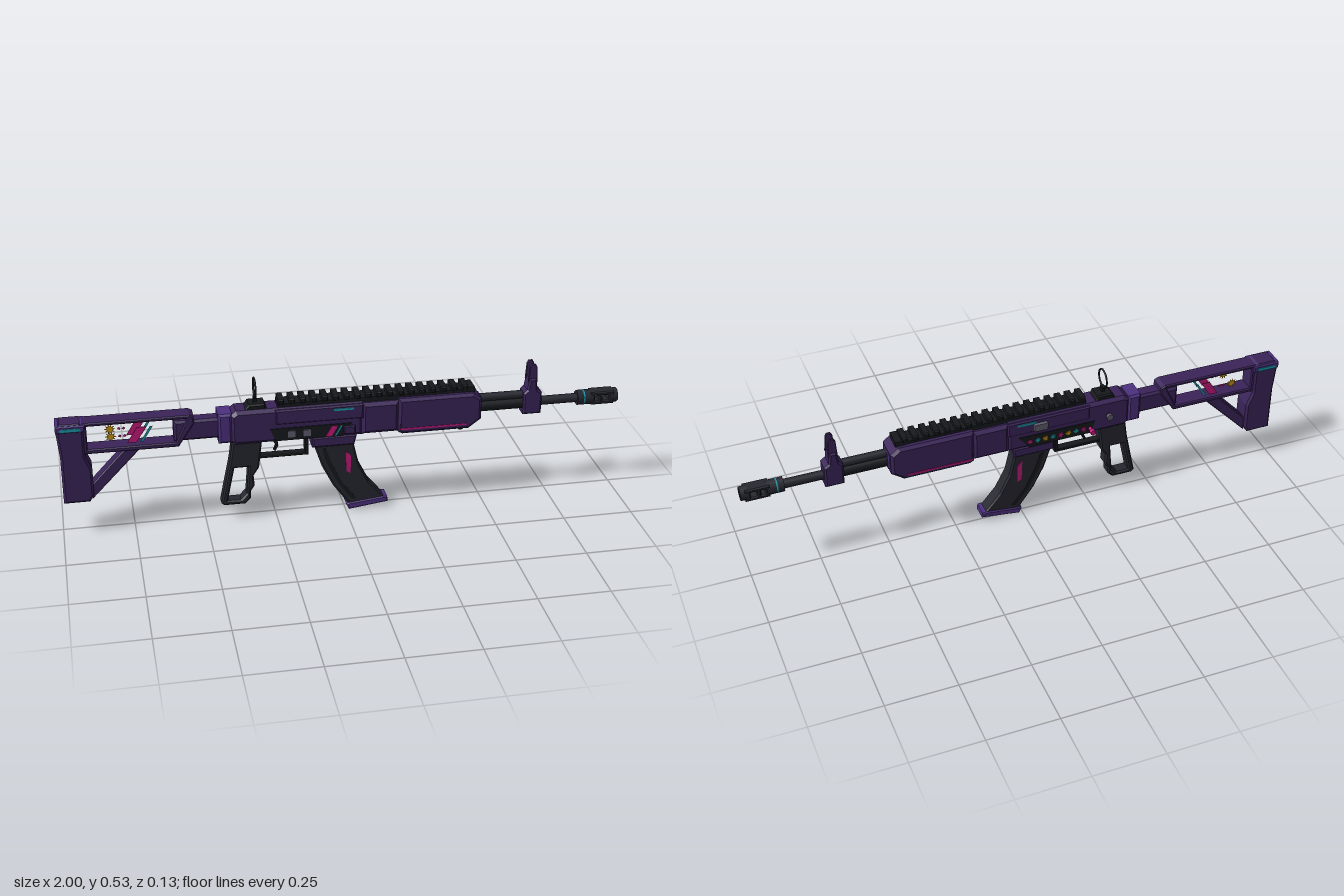
import * as THREE from 'three';

const C = 0.012; // z of the centre plane
const mat = (name, color) => {
  const m = new THREE.MeshStandardMaterial({ color });
  m.name = name;
  return m;
};

export function createModel() {
  const root = new THREE.Group();
  const purple = mat('deep purple', 0x3a2459), violet = mat('bright violet', 0x4d3080);
  const dark = mat('charcoal', 0x262730), black = mat('black', 0x17191d);
  const grey = mat('grey', 0x62606f), pink = mat('magenta', 0xc41a7c);
  const teal = mat('teal', 0x1b9bad), gold = mat('gold', 0xc9930f);

  const add = (geo, m, name, x = 0, y = 0, z = 0) => {
    const mesh = new THREE.Mesh(geo, m);
    mesh.name = name;
    mesh.position.set(x, y, z);
    root.add(mesh);
    return mesh;
  };
  const vec = (pts) => pts.map(([x, y]) => new THREE.Vector2(x, y));
  const rect = (x0, x1, y0, y1) => [[x0, y0], [x1, y0], [x1, y1], [x0, y1]];
  // side outline extruded across z, with chamfered rims
  const plate = (name, m, pts, width, bevel = 0.004, holes = [], z = C) => {
    const s = new THREE.Shape(vec(pts));
    holes.forEach((h) => s.holes.push(new THREE.Path(vec(h))));
    const geo = new THREE.ExtrudeGeometry(s, {
      depth: width - 2 * bevel, bevelEnabled: bevel > 0, bevelThickness: bevel,
      bevelSize: bevel, bevelOffset: -bevel, bevelSegments: 1,
    });
    geo.translate(0, 0, z - width / 2 + bevel);
    return add(geo, m, name);
  };
  const box = (name, m, x0, x1, y0, y1, width, z = C) =>
    add(new THREE.BoxGeometry(x1 - x0, y1 - y0, width), m, name, (x0 + x1) / 2, (y0 + y1) / 2, z);
  const rodX = (name, m, x0, x1, y, r, sides = 16) => {
    const geo = new THREE.CylinderGeometry(r, r, x1 - x0, sides);
    geo.rotateY(Math.PI / sides).rotateZ(-Math.PI / 2);
    return add(geo, m, name, (x0 + x1) / 2, y, C);
  };
  const knobZ = (name, m, x, y, z0, z1, r, sides = 12) => {
    const geo = new THREE.CylinderGeometry(r, r, Math.abs(z1 - z0), sides).rotateX(Math.PI / 2);
    return add(geo, m, name, x, y, (z0 + z1) / 2);
  };
  // thin painted plates, mirrored to both flanks unless told otherwise
  const decal = (name, m, pts, half, sides = [1, -1]) =>
    sides.forEach((s) => plate(name, m, pts, 0.003, 0, [], C + s * half));
  const slash = (x, y0, y1, w, lean) => [[x, y0], [x + w, y0], [x + w + lean, y1], [x + lean, y1]];
  const star = (x, y, r) => Array.from({ length: 20 }, (_, i) => {
    const a = i * Math.PI / 10, k = i % 2 ? r * 0.5 : r;
    return [x + k * Math.cos(a), y + k * Math.sin(a)];
  });

  // shoulder stock: butt, open frame, brace and connecting tube
  plate('butt', purple, [[-0.99, 0.125], [-0.9, 0.125], [-0.885, 0.15], [-0.885, 0.25],
    [-0.905, 0.3], [-0.905, 0.415], [-0.92, 0.425], [-0.985, 0.425], [-1, 0.41], [-0.99, 0.3]], 0.078, 0.008);
  plate('buttPad', violet, rect(-1, -0.9, 0.395, 0.421), 0.082, 0.004);
  decal('buttStripe', teal, rect(-0.985, -0.915, 0.4, 0.412), 0.042);
  plate('stockFrame', purple, [[-0.91, 0.307], [-0.585, 0.307], [-0.53, 0.39], [-0.53, 0.415],
    [-0.545, 0.423], [-0.91, 0.423]], 0.066, 0.004,
  [[[-0.895, 0.324], [-0.593, 0.324], [-0.552, 0.41], [-0.895, 0.41]]]);
  plate('stockBrace', purple, [[-0.89, 0.13], [-0.72, 0.305], [-0.72, 0.312], [-0.77, 0.312], [-0.89, 0.185]], 0.05);
  plate('stockTube', purple, rect(-0.6, -0.44, 0.325, 0.4), 0.055, 0.008);
  plate('stockCollar', violet, rect(-0.448, -0.4, 0.308, 0.418), 0.084, 0.008);

  // receiver
  plate('receiver', purple, [[-0.405, 0.312], [-0.39, 0.298], [0.06, 0.298], [0.06, 0.425],
    [-0.385, 0.425], [-0.405, 0.41]], 0.088, 0.012);
  plate('receiverUpperCover', purple, rect(-0.25, 0.06, 0.365, 0.42), 0.094, 0.005);
  plate('frontReceiver', purple, rect(0.055, 0.188, 0.302, 0.42), 0.098, 0.012);
  decal('receiverTealStripe', teal, rect(-0.045, 0.025, 0.403, 0.411), 0.048);
  decal('sidePanel', black, [[-0.25, 0.305], [-0.02, 0.305], [0.02, 0.352], [-0.27, 0.352]], 0.046);
  decal('panelSlash', pink, slash(-0.075, 0.308, 0.346, 0.022, 0.022), 0.0485, [1]);
  decal('panelTealSlash', teal, slash(-0.043, 0.308, 0.346, 0.006, 0.022), 0.0485, [1]);
  [-0.195, -0.14].forEach((x) => box('panelButton', grey, x - 0.013, x + 0.013, 0.317, 0.341, 0.008, C + 0.048));
  [pink, teal, gold, pink, teal, gold, teal, pink].forEach((m, i) =>
    decal('panelMark', m, star(-0.225 + i * 0.029, 0.328, 0.011), 0.0485, [-1]));
  box('ejectionCover', grey, -0.085, -0.035, 0.375, 0.402, 0.016, C - 0.052);
  plate('latch', purple, rect(-0.01, 0.03, 0.312, 0.342), 0.012, 0.003, [], C + 0.048);

  // controls on the right flank
  knobZ('selectorStem', dark, -0.32, 0.366, -0.03, -0.05, 0.006);
  knobZ('selectorKnob', grey, -0.32, 0.366, -0.043, -0.054, 0.012);
  knobZ('handleStem', pink, -0.25, 0.326, -0.03, -0.055, 0.006);
  knobZ('handleKnob', pink, -0.25, 0.326, -0.053, -0.067, 0.01);

  // handguard with a window cut through it
  plate('handguard', purple, [[0.185, 0.3], [0.2, 0.292], [0.44, 0.292], [0.485, 0.325],
    [0.485, 0.405], [0.455, 0.427], [0.185, 0.427]], 0.105, 0.01,
  [[[0.2, 0.33], [0.425, 0.33], [0.43, 0.402], [0.222, 0.402]]]);
  plate('handguardNose', violet, rect(0.43, 0.49, 0.335, 0.4), 0.07, 0.01);
  decal('handguardLine', pink, rect(0.19, 0.43, 0.31, 0.316), 0.053);
  decal('handguardSlash', pink, slash(0.235, 0.325, 0.404, 0.04, 0.05), 0.05);
  decal('handguardTealSlash', teal, slash(0.29, 0.325, 0.404, 0.01, 0.05), 0.05);
  decal('handguardSun', gold, star(0.397, 0.366, 0.02), 0.05);
  [0.33, 0.35, 0.367].forEach((x) => decal('handguardDash', pink, rect(x - 0.005, x + 0.005, 0.362, 0.37), 0.05));
  knobZ('handguardPin', black, 0.415, 0.294, C - 0.03, C + 0.03, 0.013);

  // stock markings
  decal('stockSlash', pink, slash(-0.76, 0.338, 0.394, 0.032, 0.035), 0.03);
  decal('stockTealSlash', teal, slash(-0.715, 0.338, 0.394, 0.009, 0.035), 0.03);
  decal('stockSun', gold, star(-0.815, 0.366, 0.019), 0.03);
  [-0.784, -0.768].forEach((x) => decal('stockDot', pink, star(x, 0.366, 0.006), 0.03));

  // top rail
  box('railBase', black, -0.24, 0.46, 0.42, 0.438, 0.06);
  for (let i = 0; i < 18; i++) {
    const x = -0.238 + i * 0.0385;
    plate('railTooth', black, rect(x, x + 0.021, 0.434, 0.454), 0.066, 0.004);
  }
  box('railEnd', black, 0.42, 0.462, 0.425, 0.445, 0.064);

  // rear ring sight
  plate('rearSightBase', black, [[-0.355, 0.42], [-0.275, 0.42], [-0.285, 0.442], [-0.34, 0.442]], 0.06, 0.005);
  box('rearSightPost', black, -0.321, -0.309, 0.438, 0.463, 0.016);
  add(new THREE.TorusGeometry(0.0345, 0.0035, 8, 32).rotateY(Math.PI / 2), black, 'rearSightRing', -0.315, 0.494, C);

  // barrel, gas tube and front sight
  rodX('barrel', dark, 0.47, 0.87, 0.356, 0.0165);
  rodX('barrelSleeve', black, 0.47, 0.65, 0.355, 0.021);
  rodX('gasTube', dark, 0.47, 0.65, 0.387, 0.015);
  plate('frontSightBlock', purple, [[0.645, 0.318], [0.712, 0.318], [0.712, 0.4], [0.695, 0.412],
    [0.69, 0.455], [0.665, 0.455], [0.658, 0.412], [0.645, 0.4]], 0.058, 0.006);
  [1, -1].forEach((s) => plate('frontSightEar', purple,
    [[0.66, 0.44], [0.695, 0.44], [0.69, 0.5], [0.684, 0.51], [0.67, 0.51], [0.664, 0.5]],
    0.009, 0.002, [], C + s * 0.019));
  add(new THREE.ConeGeometry(0.006, 0.045, 8), black, 'frontSightPin', 0.677, 0.474, C);

  // muzzle device with see-through slots
  rodX('muzzleRear', dark, 0.85, 0.908, 0.356, 0.027, 8);
  rodX('muzzleRing', teal, 0.872, 0.877, 0.356, 0.0275, 8);
  plate('muzzleSlots', dark, rect(0.9, 0.985, 0.332, 0.38), 0.048, 0.004,
    [rect(0.914, 0.93, 0.346, 0.366), rect(0.943, 0.966, 0.346, 0.366)]);
  rodX('muzzleFront', dark, 0.973, 1, 0.356, 0.026, 8);
  rodX('bore', black, 0.995, 1.0005, 0.356, 0.014, 12);

  // open grip
  plate('grip', dark, [[-0.445, 0.065], [-0.435, 0.056], [-0.36, 0.056], [-0.34, 0.075], [-0.338, 0.105],
    [-0.325, 0.125], [-0.328, 0.165], [-0.308, 0.195], [-0.295, 0.3], [-0.4, 0.3], [-0.41, 0.23]], 0.05, 0.006,
  [[[-0.422, 0.073], [-0.375, 0.073], [-0.354, 0.095], [-0.345, 0.2], [-0.395, 0.2]]]);

  // trigger and guard
  const guard = [[-0.31, 0.226], [-0.13, 0.226], [-0.13, 0.3], [-0.143, 0.3], [-0.143, 0.237], [-0.31, 0.237]];
  plate('triggerGuard', black, guard, 0.03, 0.002);
  plate('trigger', black, [[-0.262, 0.3], [-0.24, 0.3], [-0.236, 0.268], [-0.246, 0.246],
    [-0.254, 0.25], [-0.246, 0.27]], 0.014, 0.002);

  // magazine well and curved magazine
  plate('magazineWell', purple, [[-0.12, 0.26], [0.03, 0.26], [0.04, 0.3], [-0.12, 0.3]], 0.074, 0.006);
  plate('magazine', dark, [[-0.115, 0.29], [-0.108, 0.25], [-0.085, 0.18], [-0.045, 0.1], [0.012, 0.02],
    [0.142, 0.035], [0.085, 0.105], [0.048, 0.18], [0.032, 0.25], [0.03, 0.29]], 0.056, 0.006);
  decal('magazineRib', black, [[-0.085, 0.25], [-0.065, 0.185], [-0.025, 0.105], [0.025, 0.04],
    [0.04, 0.042], [-0.012, 0.11], [-0.05, 0.19], [-0.07, 0.25]], 0.028);
  decal('magazineStripe', pink, [[0, 0.235], [0.003, 0.155], [0.018, 0.145], [0.018, 0.215]], 0.0285);
  plate('magazineBase', violet, [[0.012, 0], [0.155, 0.019], [0.152, 0.038], [0.135, 0.04],
    [0.01, 0.026], [0.002, 0.022]], 0.064, 0.004);

  return root;
}
